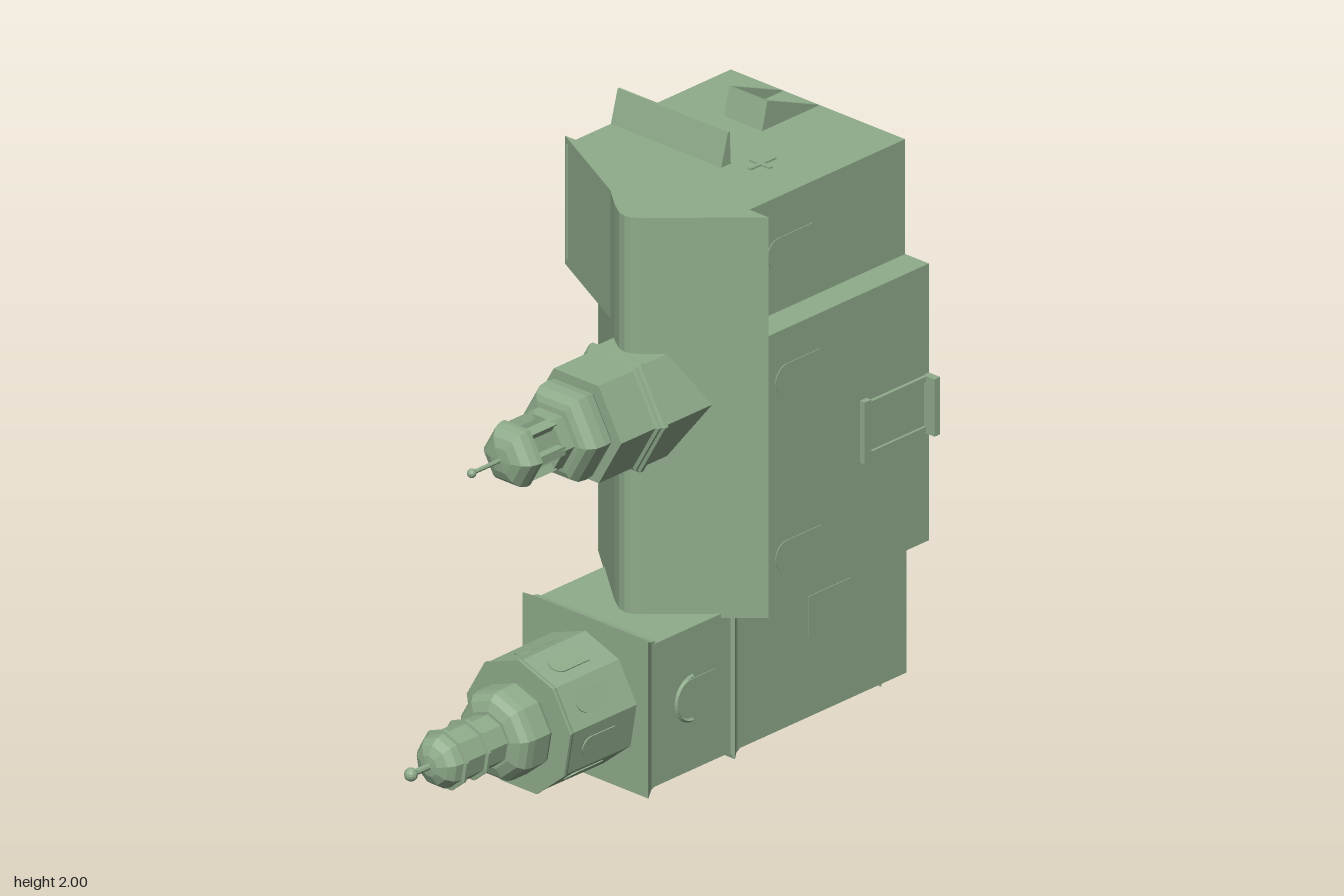
import * as THREE from 'three';

const BACK = -0.99;
const mat = new THREE.MeshStandardMaterial({ color: 0x8fab8b, flatShading: true, side: THREE.DoubleSide });
const UP = new THREE.Vector3(0, 0, 1); // the church lies on its back: its own "up" is +z

export function createModel() {
  const model = new THREE.Group();

  const add = (name, geo, parent = model) => {
    const m = new THREE.Mesh(geo, mat);
    m.name = name;
    parent.add(m);
    return m;
  };
  const box = (name, x0, x1, y0, y1, z0, z1, parent) =>
    add(name, new THREE.BoxGeometry(x1 - x0, y1 - y0, z1 - z0)
      .translate((x0 + x1) / 2, (y0 + y1) / 2, (z0 + z1) / 2), parent);
  const shapeOf = pts => new THREE.Shape(pts.map(p => new THREE.Vector2(...p)));
  const extrude = (shape, depth) =>
    new THREE.ExtrudeGeometry(shape, { depth, bevelEnabled: false, curveSegments: 8 });
  // prism along y from an [x, z] outline
  const prismY = (name, pts, y0, y1) =>
    add(name, extrude(shapeOf(pts.map(([x, z]) => [x, -z])), y1 - y0).rotateX(-Math.PI / 2).translate(0, y0, 0));
  // prism along x from a [z, y] outline
  const prismX = (name, pts, x0, x1) =>
    add(name, extrude(shapeOf(pts.map(([z, y]) => [-z, y])), x1 - x0).rotateY(Math.PI / 2).translate(x0, 0, 0));
  // place a geometry drawn in xy onto a wall facing n
  const onWall = (name, geo, n, pos, parent) => {
    const normal = new THREE.Vector3(...n).normalize();
    const side = new THREE.Vector3().crossVectors(UP, normal);
    geo.applyMatrix4(new THREE.Matrix4().makeBasis(side, UP, normal).setPosition(...pos));
    return add(name, geo, parent);
  };
  // round-headed window, origin at its sill
  const arch = (w, h) => {
    const s = new THREE.Shape();
    s.moveTo(-w / 2, 0).lineTo(w / 2, 0).lineTo(w / 2, h - w / 2);
    s.absarc(0, h - w / 2, w / 2, 0, Math.PI);
    return s;
  };
  const archWindow = (n, pos, w, h, parent) =>
    onWall('archedWindow', extrude(arch(w, h), 0.005), n, pos, parent);
  // faceted turned part along z from an [r, z] profile
  const turned = (name, profile, sides, phi, parent) =>
    add(name, new THREE.LatheGeometry(profile.map(p => new THREE.Vector2(...p)), sides, phi)
      .rotateX(Math.PI / 2), parent);
  const finial = (z0, z1, r, parent) => {
    add('finialRod', new THREE.CylinderGeometry(r * 0.45, r * 0.5, z1 - z0, 8)
      .rotateX(Math.PI / 2).translate(0, 0, (z0 + z1) / 2), parent);
    add('finialBall', new THREE.SphereGeometry(r, 12, 8).translate(0, 0, z1), parent);
  };

  // main walls
  box('naveWalls', -0.3, 0.4, 0.56, 1.5, BACK, -0.25);
  box('transeptWalls', -0.435, 0.3, 1.5, 1.89, BACK, -0.25);
  box('entranceWalls', -0.19, 0.305, 0.08, 0.565, BACK, -0.2);

  // roofs
  prismY('naveRoof', [[-0.31, -0.26], [0.41, -0.26], [0.13, 0.01], [0.1, 0.031], [0.08, 0.035],
    [0.05, 0.028], [0, -0.005]], 0.55, 1.91);
  prismY('transeptRoof', [[-0.45, -0.262], [-0.06, -0.262], [-0.01, -0.03], [-0.06, -0.06]], 1.475, 1.91);

  // end wall: long canopy, ledge, porch and cross
  prismX('canopy', [[-0.45, 1.885], [-0.482, 2], [-0.49, 2], [-0.495, 1.885]], -0.435, 0.03);
  box('canopyLedge', -0.435, -0.02, 1.885, 1.945, -0.522, -0.49);
  prismX('porchRoof', [[-0.73, 1.885], [-0.755, 1.985], [-0.775, 1.975], [-0.77, 1.885]], -0.22, -0.06);
  for (const x of [-0.22, -0.068])
    prismX('porchSide', [[-0.75, 1.885], [-0.76, 1.983], [BACK, 1.89], [BACK, 1.885]], x, x + 0.008);
  box('crossUpright', 0.095, 0.11, 1.885, 1.896, -0.615, -0.5);
  box('crossArm', 0.06, 0.145, 1.885, 1.896, -0.56, -0.545);

  // wall windows
  archWindow([1, 0, 0], [0.298, 1.7, -0.575], 0.1, 0.205);
  for (const y of [1.33, 0.73]) {
    archWindow([1, 0, 0], [0.398, y, -0.5], 0.1, 0.2);
    archWindow([-1, 0, 0], [-0.298, y + 0.02, -0.5], 0.1, 0.2);
  }
  box('squareWindow', -0.438, -0.43, 1.66, 1.74, -0.62, -0.53);
  box('squareWindow', 0.3, 0.308, 0.35, 0.49, -0.74, -0.55);
  box('squareWindow', -0.193, -0.185, 0.35, 0.49, -0.74, -0.55);

  // side door
  const door = new THREE.Group();
  door.name = 'sideDoor';
  model.add(door);
  box('doorHood', 0.39, 0.42, 0.93, 1.14, -0.71, -0.68, door);
  box('doorStep', 0.39, 0.447, 0.935, 1.13, BACK, -0.965, door);
  for (const y of [0.94, 1.11]) box('doorPost', 0.39, 0.412, y, y + 0.018, -0.97, -0.7, door);
  box('doorPanel', 0.39, 0.403, 0.955, 1.115, -0.97, -0.72, door);

  // main entrance
  const entrance = new THREE.Group();
  entrance.name = 'mainEntrance';
  model.add(entrance);
  box('entrancePad', -0.09, 0.2, 0, 0.09, BACK, BACK + 0.004, entrance);
  box('entranceStep', -0.07, 0.18, 0.055, 0.09, BACK, -0.935, entrance);
  for (const x of [-0.06, 0.145]) box('entrancePillar', x, x + 0.025, 0.066, 0.09, -0.94, -0.7, entrance);
  onWall('pediment', extrude(shapeOf([[-0.125, 0], [0.125, 0], [0.125, 0.02], [0, 0.11], [-0.125, 0.02]]), 0.016),
    [0, -1, 0], [0.055, 0.084, -0.71], entrance);

  // bell tower base with flared cornices
  const cx = 0.055, cy = 0.325;
  const tower = new THREE.Group();
  tower.name = 'bellTower';
  tower.position.set(cx, cy, 0);
  model.add(tower);
  const s = Math.SQRT2;
  box('towerBase', -0.245, 0.25, -0.245, 0.24, -0.25, 0.16, tower);
  turned('towerCornice', [[0, 0.13], [0.247 * s, 0.135], [0.25 * s, 0.155], [0.262 * s, 0.178],
    [0.265 * s, 0.185], [0, 0.185]], 4, Math.PI / 4, tower);
  turned('baseCornice', [[0, -0.255], [0.247 * s, -0.25], [0.252 * s, -0.225], [0.265 * s, -0.205],
    [0.247 * s, -0.2], [0, -0.2]], 4, Math.PI / 4, tower);
  for (const [n, pos] of [[[1, 0, 0], [0.247, 0, -0.13]], [[-1, 0, 0], [-0.242, 0, -0.13]], [[0, -1, 0], [0, -0.242, -0.13]]]) {
    onWall('belfryOpening', extrude(arch(0.13, 0.17), 0.006), n, pos, tower);
    onWall('belfryArch', new THREE.TorusGeometry(0.074, 0.01, 4, 16, Math.PI).translate(0, 0.1, 0), n, pos, tower);
  }

  // nine-sided drum, dome, lantern
  turned('drum', [[0.22, 0.17], [0.218, 0.465], [0.222, 0.475], [0.222, 0.485], [0, 0.485]], 9, Math.PI, tower);
  for (let i = 0; i < 9; i++) {
    const a = Math.PI / 2 + (i + 0.5) * Math.PI * 2 / 9, r = 0.22 * Math.cos(Math.PI / 9) - 0.002;
    const c = Math.cos(a), d = Math.sin(a);
    archWindow([c, d, 0], [c * r, d * r, 0.275], 0.066, 0.14, tower);
  }
  turned('dome', [[0.14, 0.48], [0.15, 0.5], [0.15, 0.565], [0.145, 0.59], [0.128, 0.61],
    [0.095, 0.623], [0, 0.625]], 9, Math.PI, tower);
  turned('lantern', [[0.085, 0.62], [0.085, 0.71], [0.1, 0.712], [0.1, 0.722], [0.088, 0.724], [0.088, 0.81],
    [0.1, 0.812], [0.1, 0.822], [0.089, 0.824], [0.084, 0.85], [0.066, 0.873], [0.035, 0.888], [0, 0.892]],
  9, Math.PI, tower);
  finial(0.885, 0.968, 0.022, tower);

  // hexagonal cupola on the nave roof
  const cupola = new THREE.Group();
  cupola.name = 'cupola';
  cupola.position.set(0.085, 1.275, 0);
  model.add(cupola);
  const hex = (name, profile) => turned(name, profile, 6, Math.PI / 2, cupola);
  hex('cupolaDrum', [[0.2, -0.2], [0.2, 0.06], [0.213, 0.07], [0.213, 0.085], [0.202, 0.09], [0.202, 0.1],
    [0.19, 0.105], [0.19, 0.258], [0, 0.258]]);
  hex('cupolaDome', [[0.145, 0.255], [0.16, 0.27], [0.164, 0.3], [0.16, 0.335], [0.142, 0.362], [0.12, 0.37],
    [0.1, 0.372], [0.1, 0.42], [0, 0.42]]);
  for (let i = 0; i < 6; i++) {
    const a = i * Math.PI / 3;
    add('lanternPost', new THREE.BoxGeometry(0.026, 0.03, 0.13)
      .translate(0.085, 0, 0.475).rotateZ(a), cupola);
  }
  hex('lanternCap', [[0, 0.522], [0.108, 0.522], [0.108, 0.54], [0.1, 0.565], [0.078, 0.588], [0.045, 0.6], [0, 0.604]]);
  finial(0.598, 0.727, 0.015, cupola);

  return model;
}
